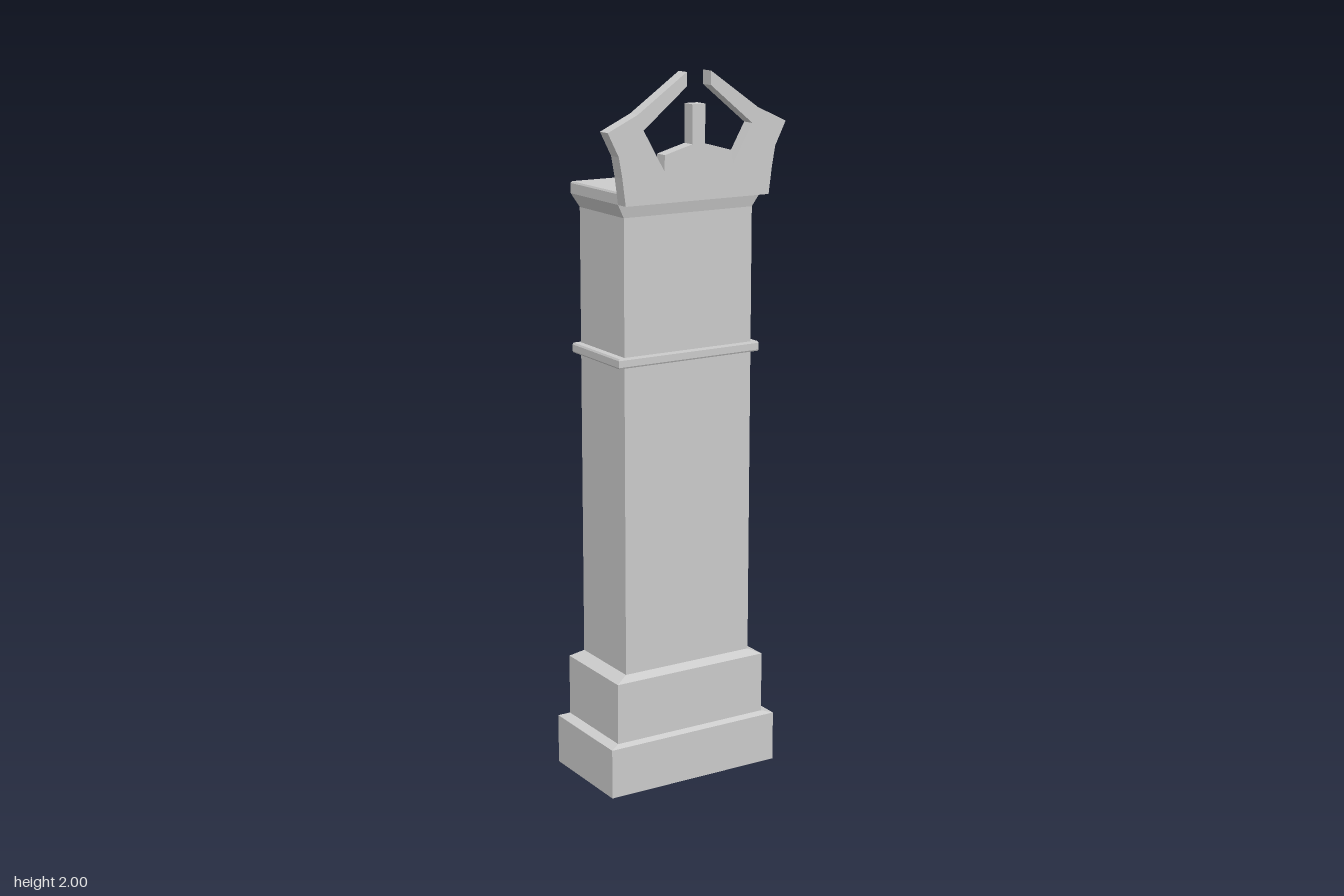
import * as THREE from 'three';

const material = new THREE.MeshStandardMaterial({ color: 0xcccccc, flatShading: true, side: THREE.DoubleSide });

// Open rectangular shell through rings of [y, halfWidth, zFront, zBack]
function shell(name, rings, capped = false) {
  const corners = rings.map(([y, w, f, b]) => [[w, y, f], [w, y, b], [-w, y, b], [-w, y, f]]);
  const pos = [];
  const quad = (a, b, c, d) => pos.push(...a, ...b, ...c, ...a, ...c, ...d);
  for (let r = 0; r < corners.length - 1; r++) {
    for (let i = 0; i < 4; i++) {
      const j = (i + 1) % 4;
      quad(corners[r][i], corners[r][j], corners[r + 1][j], corners[r + 1][i]);
    }
  }
  if (capped) quad(...corners[corners.length - 1]);
  const geometry = new THREE.BufferGeometry();
  geometry.setAttribute('position', new THREE.Float32BufferAttribute(pos, 3));
  geometry.computeVertexNormals();
  const mesh = new THREE.Mesh(geometry, material);
  mesh.name = name;
  return mesh;
}

// Broken pediment with a central post, mirrored from its right half
function crest() {
  const half = [
    [0.225, 1.66], [0.235, 1.735], [0.245, 1.79], [0.278, 1.855], [0.187, 1.897], [0.038, 2],
    [0.038, 1.962], [0.17, 1.855], [0.107, 1.745], [0.105, 1.787], [0.02, 1.81], [0.02, 1.915],
  ];
  const mirrored = half.map(([x, y]) => [-x, y]).reverse();
  const shape = new THREE.Shape([...half, ...mirrored].map(([x, y]) => new THREE.Vector2(x, y)));
  const geometry = new THREE.ExtrudeGeometry(shape, { depth: 0.04, bevelEnabled: false });
  geometry.translate(0, 0, 0.12);
  const mesh = new THREE.Mesh(geometry, material);
  mesh.name = 'crest';
  return mesh;
}

export function createModel() {
  const group = new THREE.Group();
  group.name = 'pillar';
  const column = [0.203, 0.112, -0.124];
  const band = [0.225, 0.12, -0.134];
  const bandEdge = [0.222, 0.118, -0.132];

  group.add(
    // Stepped foot, open underneath
    shell('base', [
      [0, 0.27, 0.148, -0.161], [0.143, 0.27, 0.148, -0.161], [0.15, 0.24, 0.13, -0.145],
    ]),
    shell('plinth', [
      [0.15, 0.24, 0.13, -0.145], [0.325, 0.24, 0.13, -0.145], [0.342, ...column],
    ]),
    // Shaft with a thin moulding between its two sections
    shell('lowerShaft', [[0.342, ...column], [1.217, ...column]]),
    shell('moulding', [
      [1.217, ...column], [1.217, ...bandEdge], [1.221, ...band],
      [1.24, ...band], [1.245, ...bandEdge], [1.245, ...column],
    ]),
    shell('upperShaft', [[1.245, ...column], [1.622, ...column]]),
    // Flared cap slab
    shell('cornice', [
      [1.622, ...column], [1.66, ...band], [1.688, ...band], [1.693, ...bandEdge],
    ], true),
    crest(),
  );
  return group;
}
